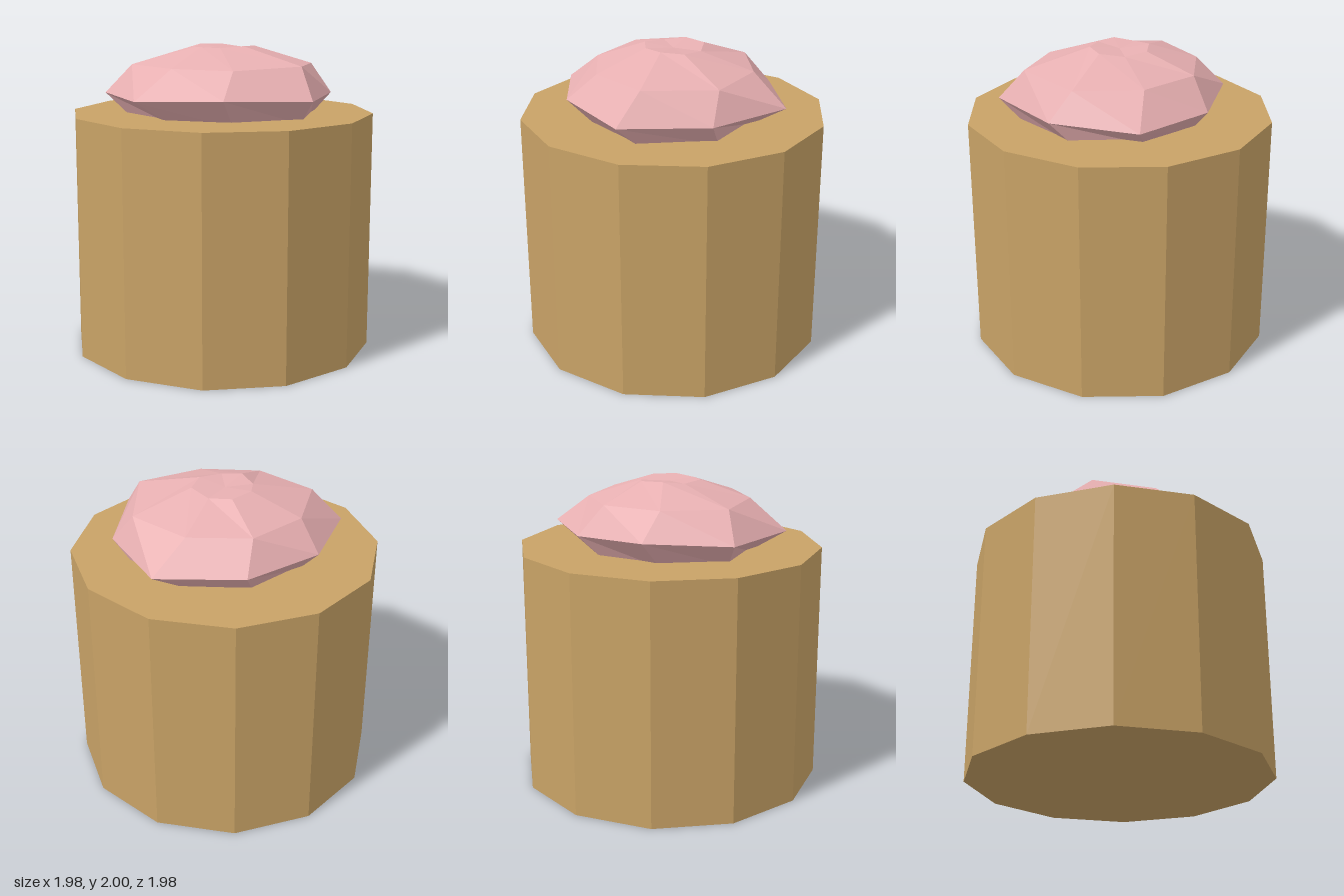
import * as THREE from 'three';

export function createModel() {
  const model = new THREE.Group();
  const tan = new THREE.MeshStandardMaterial({ color: 0xc8a266, flatShading: true });
  tan.name = 'tan';
  const pink = new THREE.MeshStandardMaterial({ color: 0xe8b0b2, flatShading: true });
  pink.name = 'pink';

  // Twelve-sided base
  const H = 1.565;
  const base = new THREE.Mesh(new THREE.CylinderGeometry(0.99, 0.99, H, 12), tan);
  base.name = 'base';
  base.position.y = H / 2;
  model.add(base);

  // Irregular faceted topping: eight-point rings [x, y, z] from top to bottom
  const crown = [[0.19, 1.98, 0.02], [0.13, 1.995, 0.17], [-0.02, 2, 0.19], [-0.15, 1.99, 0.1],
    [-0.2, 1.995, -0.02], [-0.11, 1.985, -0.14], [0.02, 2, -0.19], [0.165, 1.995, -0.13]];
  const shoulder = [[0.53, 1.875, 0], [0.43, 1.875, 0.42], [0, 1.89, 0.62], [-0.38, 1.875, 0.37],
    [-0.52, 1.88, 0], [-0.41, 1.88, -0.42], [0, 1.88, -0.52], [0.37, 1.88, -0.37]];
  const rim = [[0.77, 1.69, 0.1], [0.44, 1.69, 0.57], [-0.1, 1.69, 0.77], [-0.56, 1.71, 0.43],
    [-0.76, 1.69, -0.1], [-0.46, 1.69, -0.61], [0.09, 1.71, -0.68], [0.53, 1.69, -0.41]];
  const underside = shoulder.map(([x, , z]) => [x, 1.53, z]);
  const rings = [crown, shoulder, rim, underside];

  const points = [];
  const face = (...corners) => corners.forEach((p) => points.push(...p));
  for (let i = 0; i < 8; i++) {
    const j = (i + 1) % 8;
    face([0, 1.98, 0], crown[j], crown[i]);
    for (let r = 0; r < 3; r++) {
      const up = rings[r], low = rings[r + 1];
      face(up[i], up[j], low[i]);
      face(up[j], low[j], low[i]);
    }
    face([0, 1.5, 0], underside[i], underside[j]);
  }
  const geometry = new THREE.BufferGeometry();
  geometry.setAttribute('position', new THREE.Float32BufferAttribute(points, 3));
  geometry.computeVertexNormals();
  const topping = new THREE.Mesh(geometry, pink);
  topping.name = 'topping';
  model.add(topping);

  return model;
}
